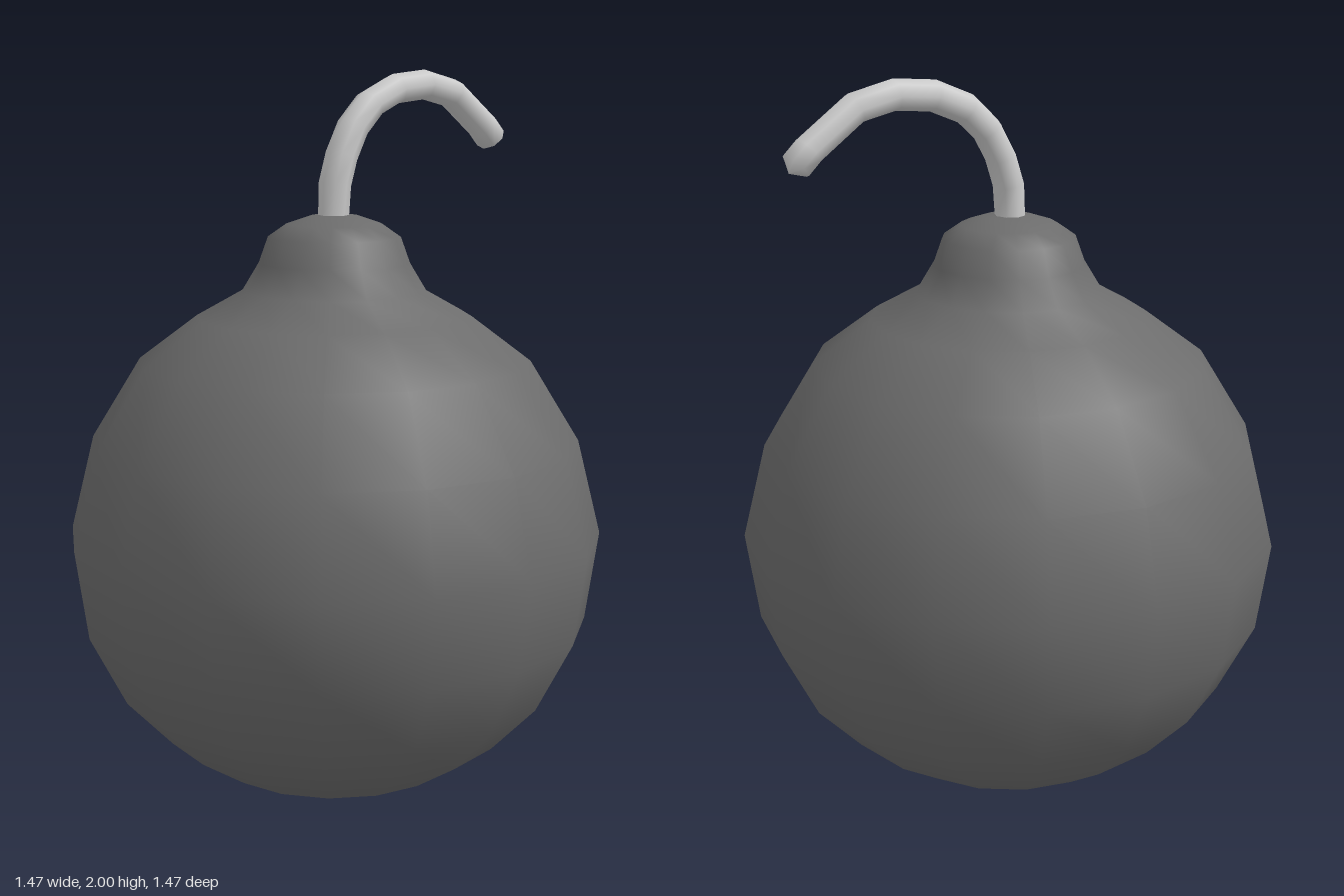
import * as THREE from 'three';

const SIDES = 8;

// Round body with a short neck, 16 sides, smooth shaded
function createBody() {
  const profile = [
    [0, 0], [0.2, 0.03], [0.335, 0.085], [0.475, 0.175], [0.6, 0.305], [0.7, 0.5],
    [0.735, 0.745], [0.67, 1.005], [0.535, 1.225], [0.375, 1.345], [0.25, 1.415],
    [0.205, 1.49], [0.18, 1.56], [0.13, 1.595], [0.065, 1.617], [0, 1.622],
  ].map(([r, y]) => new THREE.Vector2(r, y));
  const body = new THREE.Mesh(
    new THREE.LatheGeometry(profile, 16),
    new THREE.MeshStandardMaterial({ color: 0x6c6c6c }),
  );
  body.name = 'body';
  return body;
}

// Fuse curving up and over towards the back, one ring per path point
function createFuse() {
  const points = [
    [1.61, 0.003], [1.70, -0.002], [1.775, -0.026], [1.85, -0.067], [1.91, -0.13],
    [1.95, -0.225], [1.96, -0.335], [1.935, -0.445], [1.84, -0.575], [1.805, -0.61], [1.787, -0.63],
  ].map(([y, z]) => new THREE.Vector3(0, y, z));
  const path = new THREE.CatmullRomCurve3(points);
  path.getPointAt = (t, target) => path.getPoint(t, target);
  path.getTangentAt = (t, target) => path.getTangent(t, target);

  const rings = points.length - 1;
  const geometry = new THREE.TubeGeometry(path, rings, 0.041, SIDES);

  // Widen the section slightly and round off the tip
  const position = geometry.attributes.position;
  const p = new THREE.Vector3();
  for (let i = 0; i < position.count; i++) {
    const ring = Math.floor(i / (SIDES + 1));
    p.fromBufferAttribute(position, i);
    if (ring === rings) p.lerp(points[ring], 1);
    p.x *= ring === 0 ? 1.03 : 1.15;
    position.setXYZ(i, p.x, p.y, p.z);
  }
  geometry.computeVertexNormals();
  // Keep the tube's seam smooth
  const normal = geometry.attributes.normal;
  const a = new THREE.Vector3(), b = new THREE.Vector3();
  for (let r = 0; r <= rings; r++) {
    const first = r * (SIDES + 1), last = first + SIDES;
    a.fromBufferAttribute(normal, first).add(b.fromBufferAttribute(normal, last)).normalize();
    normal.setXYZ(first, a.x, a.y, a.z);
    normal.setXYZ(last, a.x, a.y, a.z);
  }

  const fuse = new THREE.Mesh(geometry, new THREE.MeshStandardMaterial({ color: 0xcccccc }));
  fuse.name = 'fuse';
  return fuse;
}

export function createModel() {
  const group = new THREE.Group();
  group.name = 'roundBomb';
  group.add(createBody(), createFuse());
  return group;
}
